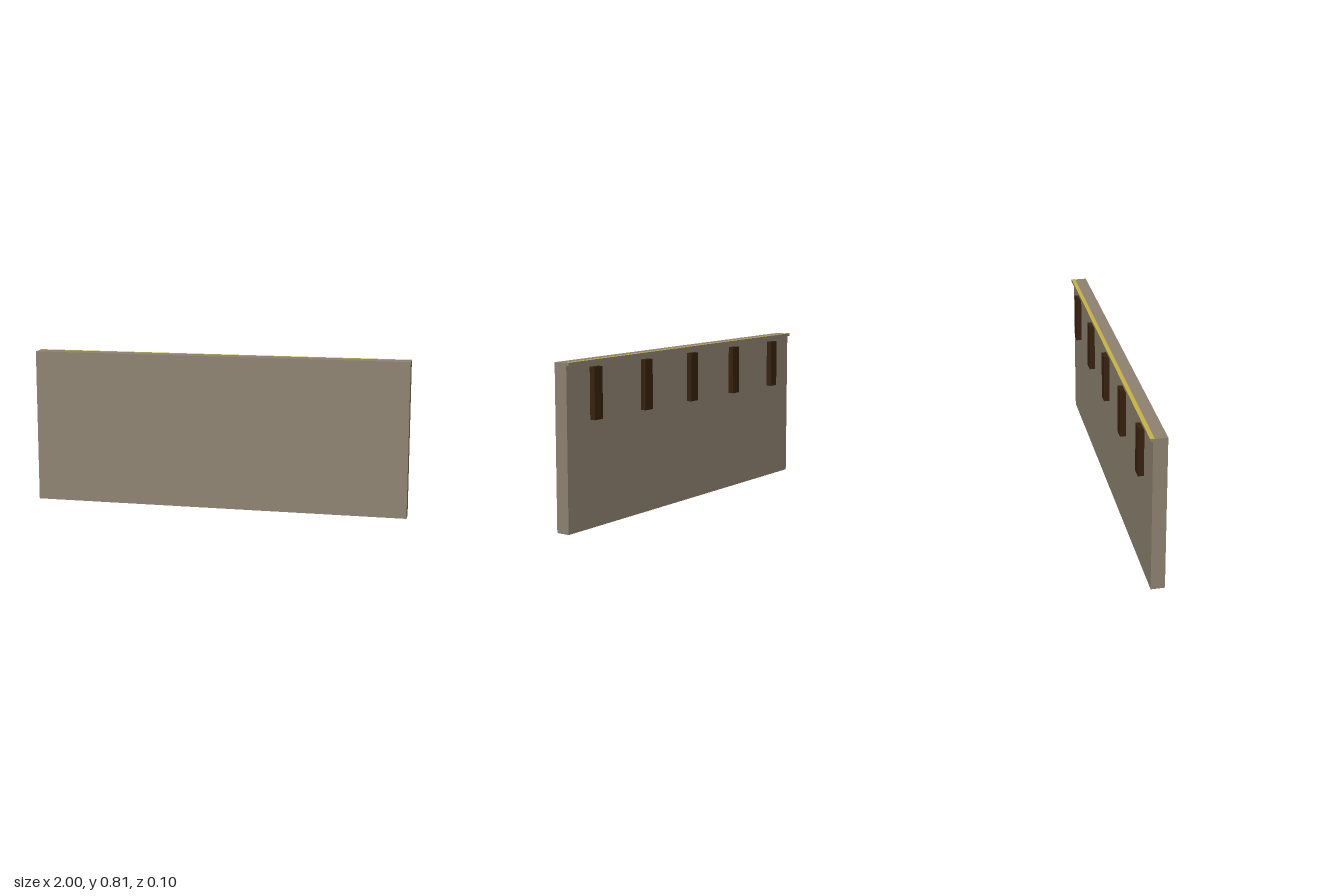
import * as THREE from 'three';

const stone = new THREE.MeshStandardMaterial({ name: 'stone', color: 0x8f8371 });
const wood = new THREE.MeshStandardMaterial({ name: 'darkWood', color: 0x38210d });
const yellow = new THREE.MeshStandardMaterial({ name: 'yellow', color: 0xc9b542 });

// Box given by its extents along each axis
function block(name, [x0, x1], [y0, y1], [z0, z1], material) {
  const mesh = new THREE.Mesh(new THREE.BoxGeometry(x1 - x0, y1 - y0, z1 - z0), material);
  mesh.position.set((x0 + x1) / 2, (y0 + y1) / 2, (z0 + z1) / 2);
  mesh.name = name;
  return mesh;
}

export function createModel() {
  const model = new THREE.Group();
  model.name = 'platformWall';

  // Main slab
  model.add(block('wall', [-1, 1], [0, 0.812], [-0.02, 0.05], stone));

  // Overhanging edge with a yellow top face
  const edgeMaterials = [stone, stone, yellow, stone, stone, stone];
  model.add(block('edgeLip', [-1, 1], [0.799, 0.814], [-0.034, -0.013], edgeMaterials));

  // Row of wooden fenders on the back
  const fenders = new THREE.Group();
  fenders.name = 'fenders';
  for (let i = -2; i <= 2; i++) {
    const x = i * 0.4;
    fenders.add(block('fender', [x - 0.03, x + 0.03], [0.527, 0.78], [-0.049, -0.02], wood));
  }
  model.add(fenders);

  return model;
}
